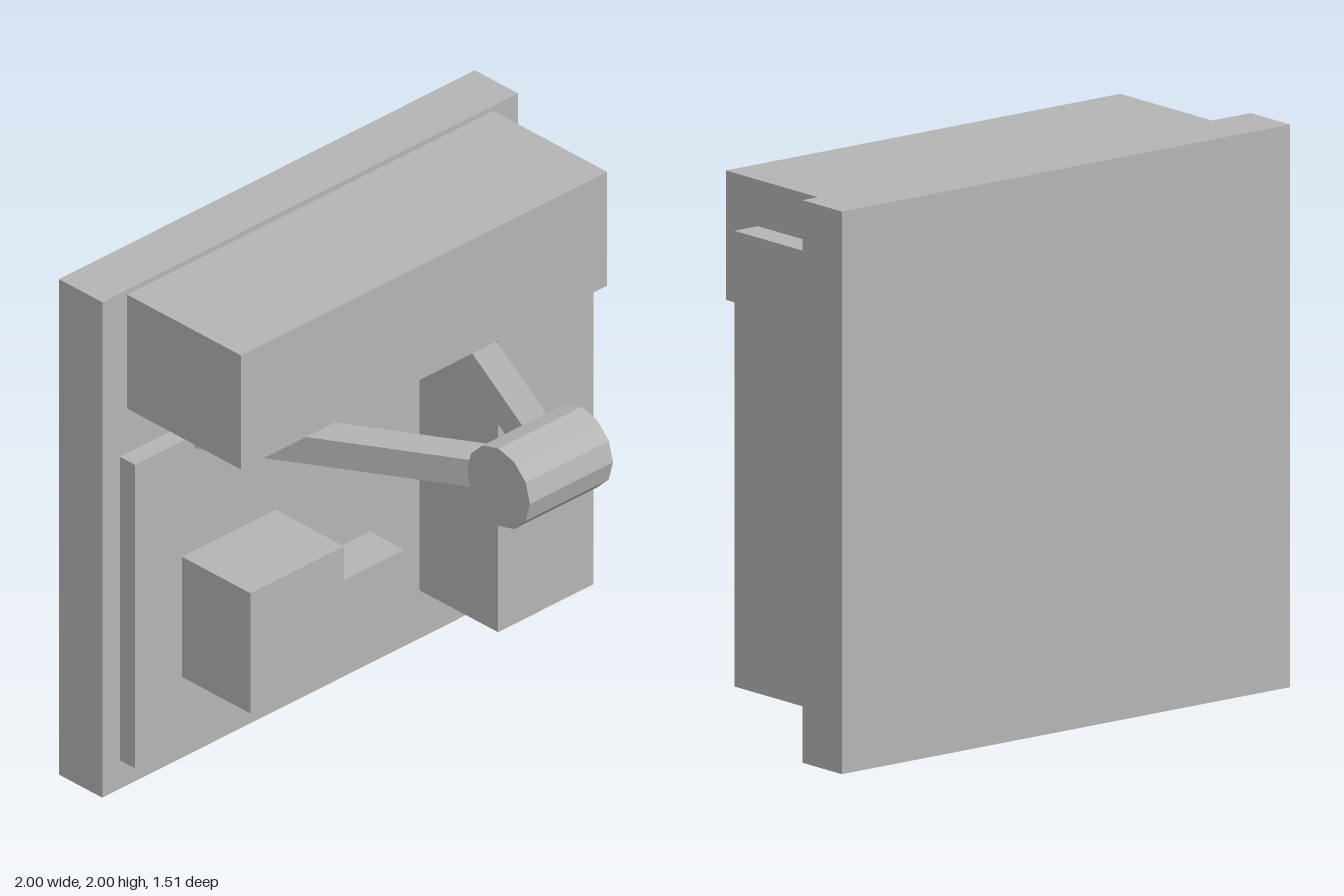
import * as THREE from 'three';

export function createModel() {
  const group = new THREE.Group();
  const grey = new THREE.MeshStandardMaterial({ color: 0xb4b4b4, flatShading: true });
  grey.name = 'grey';

  const add = (name, geometry) => {
    const mesh = new THREE.Mesh(geometry, grey);
    mesh.name = name;
    group.add(mesh);
    return mesh;
  };

  // Box given by its limits on each axis
  const block = (name, [x0, x1], [y0, y1], [z0, z1]) =>
    add(name, new THREE.BoxGeometry(x1 - x0, y1 - y0, z1 - z0))
      .position.set((x0 + x1) / 2, (y0 + y1) / 2, (z0 + z1) / 2);

  // Wall slab and the blocks mounted on it
  const wall = -0.54, panelFace = -0.465;
  block('backPlate', [-1, 1], [0, 2], [-0.755, wall]);
  block('topBox', [-0.88, 0.88], [1.52, 1.98], [wall, 0.025]);
  block('sideBox', [0.525, 0.985], [0.195, 1.815], [wall, -0.15]);
  block('frontPanel', [-0.915, 0.43], [0.115, 1.34], [wall, panelFace]);
  block('largeBlock', [-0.69, -0.24], [0.39, 0.875], [panelFace, -0.125]);
  block('smallBlock', [-0.08, 0.215], [0.305, 0.595], [panelFace, -0.295]);

  // Twelve-sided drum lying across the front
  const drum = add('drum', new THREE.CylinderGeometry(0.156, 0.156, 0.4, 12).rotateZ(Math.PI / 2));
  drum.position.set(0, 1.412, 0.6);

  // Two slightly rolled arms spreading from the drum back to the wall
  const length = 1.12;
  for (const side of [1, -1]) {
    const skew = new THREE.Matrix4().makeBasis(
      new THREE.Vector3(0.122, -0.01 * side, 0),
      new THREE.Vector3(0.012 * side, 0.115, 0),
      new THREE.Vector3(-0.488 * side, 0.058, 1).multiplyScalar(length)
    );
    const arm = add(side > 0 ? 'leftArm' : 'rightArm', new THREE.BoxGeometry(1, 1, 1).applyMatrix4(skew));
    arm.position.set(0.367 * side, 1.374, -0.04);
  }

  return group;
}
